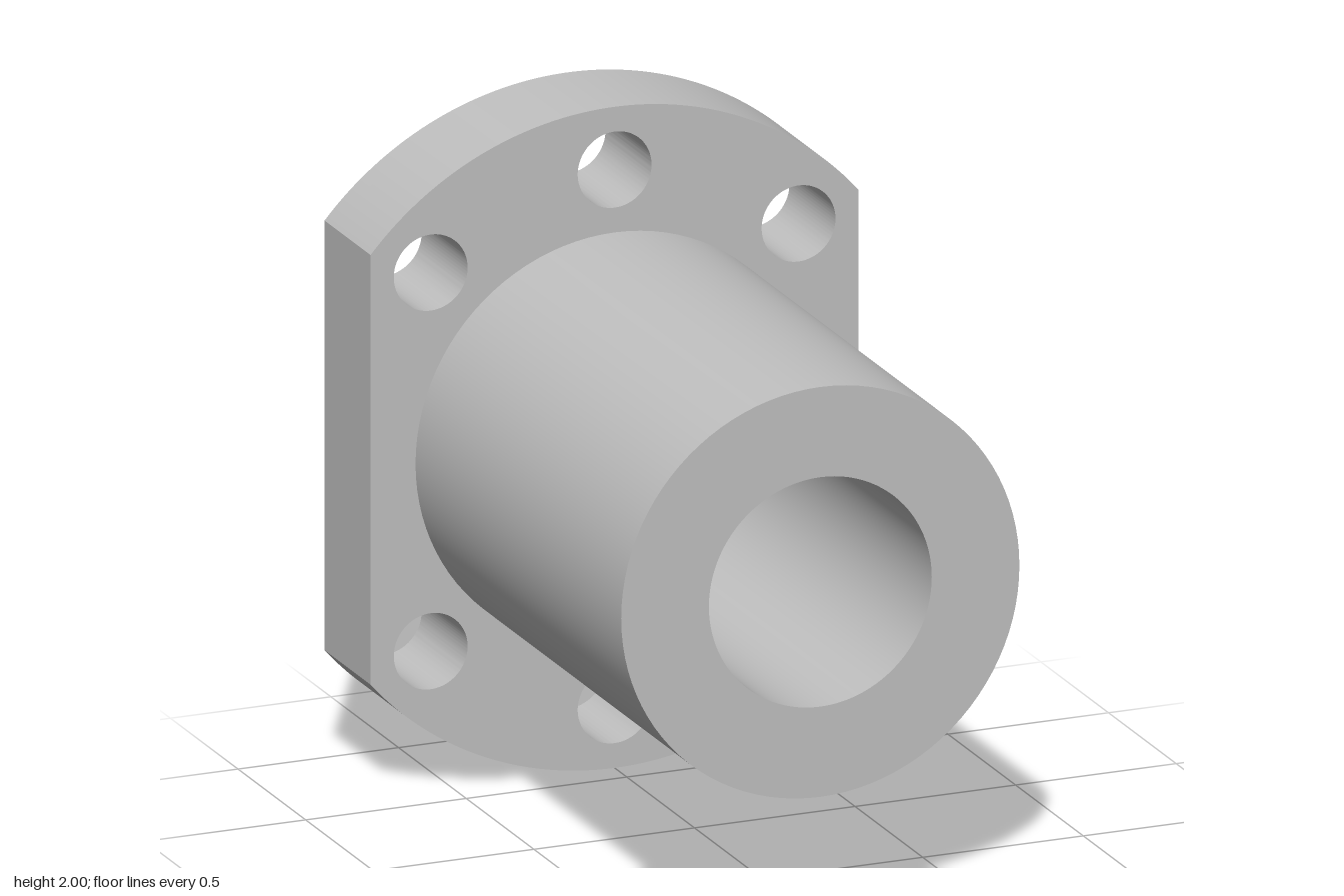
import * as THREE from 'three';
import { toCreasedNormals } from 'three/addons/utils/BufferGeometryUtils.js';

const BORE = 0.347, BARREL = 0.62, FLANGE = 1, HALF_WIDTH = 0.76;
const BACK = -0.93, STEP = -0.59, FRONT = 0.93;
const CREASE = Math.PI / 6;

function circleHole(x, y, r) {
  return new THREE.Path().absarc(x, y, r, 0, Math.PI * 2, true);
}

export function createModel() {
  const model = new THREE.Group();
  model.name = 'flangedNut';
  const steel = new THREE.MeshStandardMaterial({ color: 0xc0c0c0 });
  steel.name = 'steelGrey';

  // Round flange with two flat sides, a central bore and six bolt holes
  const a = Math.acos(HALF_WIDTH / FLANGE);
  const outline = new THREE.Shape();
  outline.absarc(0, 0, FLANGE, a, Math.PI - a, false);
  outline.absarc(0, 0, FLANGE, Math.PI + a, Math.PI * 2 - a, false);
  outline.closePath();
  outline.holes.push(circleHole(0, 0, BORE));
  for (const degrees of [45, 90, 135, 225, 270, 315]) {
    const t = THREE.MathUtils.degToRad(degrees);
    outline.holes.push(circleHole(0.81 * Math.cos(t), 0.81 * Math.sin(t), 0.115));
  }
  const flangeGeometry = new THREE.ExtrudeGeometry(outline, {
    depth: STEP - BACK, bevelEnabled: false, curveSegments: 72,
  });
  const flange = new THREE.Mesh(toCreasedNormals(flangeGeometry, CREASE), steel);
  flange.name = 'flange';
  flange.position.set(0, 1, BACK);
  model.add(flange);

  // Hollow barrel: outer wall, front rim and bore wall
  const profile = [[BARREL, STEP], [BARREL, FRONT], [BORE, FRONT], [BORE, STEP]]
    .map(([r, z]) => new THREE.Vector2(r, z));
  const barrelGeometry = new THREE.LatheGeometry(profile, 96).rotateX(Math.PI / 2);
  const barrel = new THREE.Mesh(toCreasedNormals(barrelGeometry, CREASE), steel);
  barrel.name = 'barrel';
  barrel.position.y = 1;
  model.add(barrel);

  return model;
}
